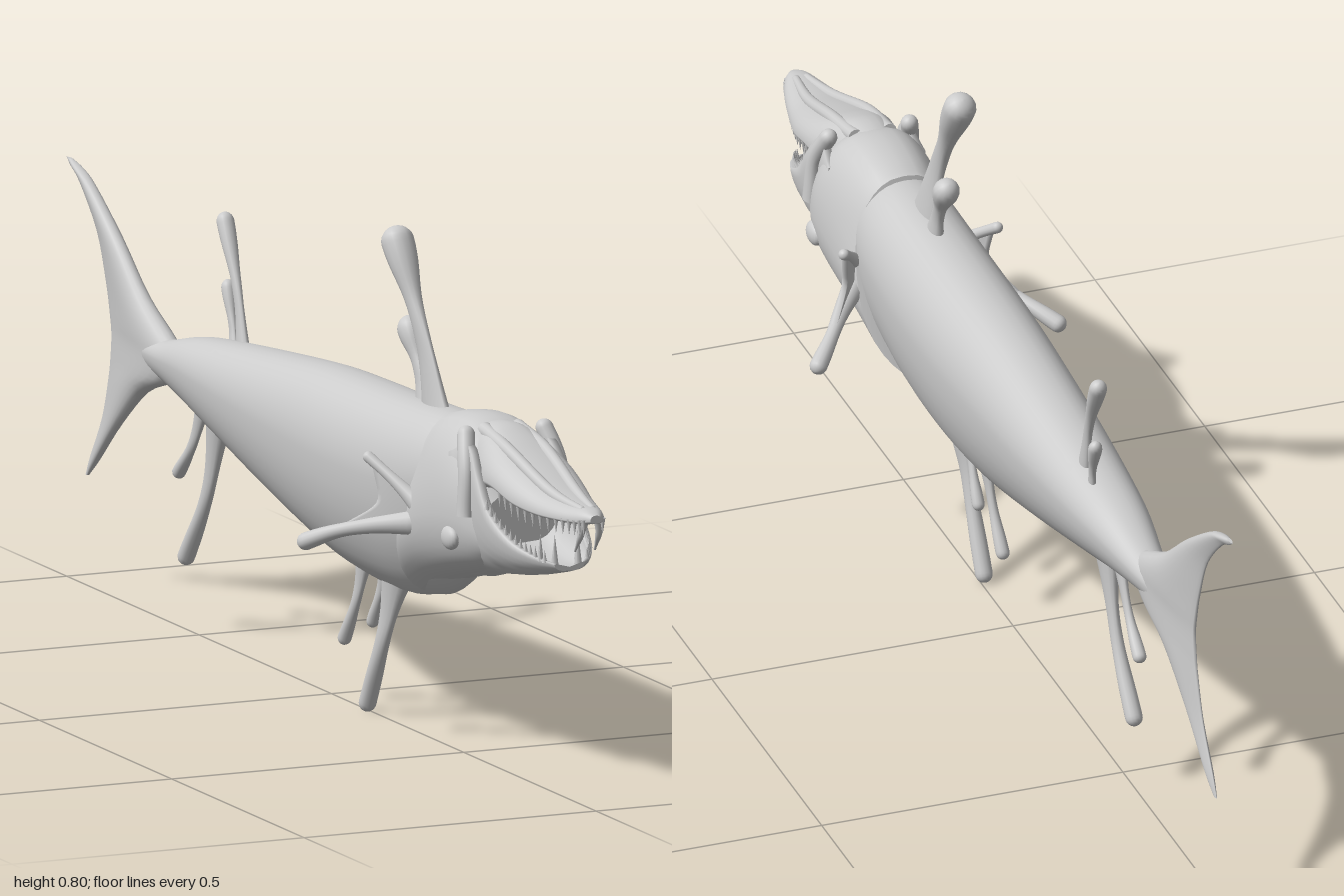
import * as THREE from 'three';

const V = (x, y, z) => new THREE.Vector3(x, y, z);
const { lerp, smoothstep } = THREE.MathUtils;
const grey = new THREE.MeshStandardMaterial({ color: 0xcccccc });
const thin = new THREE.MeshStandardMaterial({ color: 0xcccccc, side: THREE.DoubleSide });

// Smooth curve through rows of numbers; t runs from 0 to 1
function smooth(rows) {
  const f = new THREE.CubicInterpolant(rows.map((_, i) => i), rows.flat(), rows[0].length);
  return t => Array.from(f.evaluate(t * (rows.length - 1)));
}

// Skin over closed rings of equal length, capped at both ends and facing outward
function loft(rings) {
  const n = rings[0].length, pos = [], idx = [];
  rings.forEach(r => r.forEach(p => pos.push(p)));
  for (let i = 0; i < rings.length - 1; i++)
    for (let j = 0; j < n; j++) {
      const a = i * n + j, b = i * n + (j + 1) % n;
      idx.push(a, b, a + n, b, b + n, a + n);
    }
  [[rings[0], true], [rings.at(-1), false]].forEach(([r, first]) => {
    const s = pos.length;
    pos.push(...r, r.reduce((c, p) => c.add(p), V(0, 0, 0)).divideScalar(n));
    for (let j = 0; j < n; j++) {
      const a = s + j, b = s + (j + 1) % n;
      idx.push(...(first ? [b, a, s + n] : [a, b, s + n]));
    }
  });
  let volume = 0;
  for (let i = 0; i < idx.length; i += 3)
    volume += pos[idx[i]].dot(V(0, 0, 0).crossVectors(pos[idx[i + 1]], pos[idx[i + 2]]));
  if (volume < 0) idx.reverse();
  const g = new THREE.BufferGeometry().setFromPoints(pos);
  g.setIndex(idx);
  g.computeVertexNormals();
  return g;
}

const steps = (n, f) => Array.from({ length: n + 1 }, (_, i) => f(i / n));
const around = (n, f) => Array.from({ length: n }, (_, i) => f(i / n * Math.PI * 2));

// Cross-section with separate fullness above and below its widest level
function section(z, w, bot, top, mid, eTop, eLow, shift = () => 0) {
  const m = lerp(bot, top, mid);
  return around(36, a => {
    const c = Math.cos(a), s = Math.sin(a);
    const y = m + s * (s > 0 ? top - m : m - bot);
    return V(w * Math.sign(c) * Math.abs(c) ** (s > 0 ? eTop : eLow), y, z + shift(y));
  });
}

export function createModel() {
  const model = new THREE.Group();
  const add = (name, geometry, material = grey) => {
    const m = new THREE.Mesh(geometry, material);
    m.name = name;
    model.add(m);
    return m;
  };

  // Body: z, half width, bottom, top
  const body = smooth([
    [0.56, 0.07, 0.31, 0.53], [0.48, 0.084, 0.255, 0.54], [0.40, 0.088, 0.235, 0.538],
    [0.30, 0.09, 0.22, 0.535], [0.15, 0.09, 0.221, 0.532], [0, 0.085, 0.24, 0.527],
    [-0.2, 0.075, 0.285, 0.51], [-0.4, 0.06, 0.335, 0.49], [-0.5, 0.049, 0.36, 0.476],
    [-0.6, 0.033, 0.38, 0.453], [-0.68, 0.02, 0.39, 0.44]]);
  add('body', loft(steps(50, t => section(...body(t), 0.62, 0.9, 1.3))));

  // Forked tail: y, leading z, trailing z, half thickness
  const tail = smooth([
    [0.178, -0.918, -0.928, 0.003], [0.21, -0.88, -0.91, 0.009], [0.28, -0.80, -0.865, 0.014],
    [0.35, -0.70, -0.84, 0.022], [0.385, -0.60, -0.833, 0.028], [0.42, -0.56, -0.83, 0.03],
    [0.45, -0.60, -0.835, 0.03], [0.50, -0.70, -0.85, 0.024], [0.575, -0.80, -0.885, 0.018],
    [0.64, -0.90, -0.95, 0.013], [0.66, -0.945, -0.985, 0.01], [0.67, -0.98, -1, 0.004]]);
  add('tailFin', loft(steps(44, t => {
    const [y, lead, trail, w] = tail(t);
    return around(24, a => {
      const f = (1 - Math.cos(a)) / 2;
      return V(w * Math.sin(a) * (1 - 0.65 * f), y, lerp(lead, trail, f));
    });
  })));

  // Head and gill cover, rear edge swept back: z, half width, bottom, top, sweep, lower fullness
  const head = smooth([
    [0.495, 0.09, 0.236, 0.546, 1, 1.2], [0.54, 0.095, 0.268, 0.556, 0.8, 0.95],
    [0.60, 0.098, 0.296, 0.561, 0.4, 0.7], [0.65, 0.097, 0.315, 0.55, 0.1, 0.6],
    [0.69, 0.086, 0.33, 0.51, 0, 0.6], [0.72, 0.072, 0.345, 0.46, 0, 0.6]]);
  add('headAndGillCover', loft(steps(24, t => {
    const [z, w, bot, top, k, e] = head(t);
    return section(z, w, bot, top, 0.42, 0.8, e, y => -k * 0.5 * Math.max(0, 0.45 - y));
  })));

  // Upper jaw: z, half width, bottom, top
  const upper = smooth([
    [0.58, 0.05, 0.44, 0.55], [0.66, 0.06, 0.45, 0.558], [0.71, 0.068, 0.464, 0.546],
    [0.76, 0.07, 0.468, 0.527], [0.82, 0.065, 0.455, 0.507], [0.88, 0.052, 0.45, 0.489],
    [0.94, 0.037, 0.452, 0.481], [0.98, 0.023, 0.455, 0.479], [1, 0.01, 0.46, 0.472]]);
  add('upperJaw', loft(steps(36, t => section(...upper(t), 0.22, 0.8, 0.5))));

  // Lower jaw trough: z, half width, bottom, lip height, lip width factor
  const lower = smooth([
    [0.62, 0.098, 0.305, 0.51, 0.82], [0.68, 0.098, 0.322, 0.53, 0.76],
    [0.72, 0.092, 0.328, 0.49, 0.86], [0.76, 0.083, 0.335, 0.44, 0.95],
    [0.82, 0.07, 0.345, 0.405, 1], [0.87, 0.052, 0.358, 0.388, 1], [0.90, 0.026, 0.366, 0.378, 1]]);
  add('lowerJaw', loft(steps(30, t => {
    const [z, w, bot, lip, k] = lower(t);
    const arc = (hw, b) => steps(16, u => {
      const c = Math.cos(u * Math.PI), s = Math.sin(u * Math.PI);
      return V(hw * Math.sign(c) * Math.abs(c) ** 0.6 * lerp(k, 1, s), lip - (lip - b) * s, z);
    });
    return [...arc(w, bot), ...arc(w * 0.84, lerp(bot, lip, 0.3)).reverse()];
  })));

  // Tapered stalk ending in a round bulb
  function club(name, pts, base, neck, tip, flat = 0.5) {
    const curve = new THREE.CatmullRomCurve3(pts.map(p => V(...p)));
    const e = Math.min(0.4, tip / curve.getLength());
    return add(name, loft(steps(28, i => {
      const t = Math.sin(i * Math.PI / 2), T = curve.getTangent(t);
      let r = neck + (base - neck) * (1 - t) ** 3 + smoothstep(t, 0.55, 1 - e) * (tip - neck);
      if (t > 1 - e) r *= Math.sqrt(Math.max(0.001, 1 - ((t - 1 + e) / e) ** 2));
      const S = V(1, 0, 0).addScaledVector(T, -T.x).normalize(), N = T.clone().cross(S);
      const rw = r * lerp(flat, 1, smoothstep(t, 0.3, 0.8));
      return around(14, a => curve.getPoint(t)
        .addScaledVector(S, rw * Math.cos(a)).addScaledVector(N, r * Math.sin(a)));
    })));
  }

  // Stalked fins along the back
  club('frontDorsalStalk', [[0, 0.5, 0.405], [-0.005, 0.61, 0.37], [-0.01, 0.71, 0.32], [-0.015, 0.797, 0.268]],
    0.05, 0.014, 0.026, 0.35);
  club('smallDorsalStalk', [[0.005, 0.51, 0.345], [0.008, 0.58, 0.315], [0.01, 0.652, 0.265]], 0.03, 0.012, 0.021);
  club('rearDorsalStalk', [[0.015, 0.47, -0.365], [0.02, 0.57, -0.40], [0.025, 0.68, -0.462]], 0.02, 0.009, 0.014);
  club('smallRearDorsalStalk', [[0.02, 0.47, -0.415], [0.025, 0.51, -0.43], [0.03, 0.573, -0.46]], 0.014, 0.008, 0.011);

  // Stalked fins along the belly
  club('frontVentralStalk', [[0, 0.25, 0.25], [-0.004, 0.13, 0.205], [-0.006, 0.003, 0.143]], 0.05, 0.012, 0.014, 0.4);
  club('smallVentralStalk', [[0.004, 0.24, 0.195], [0.005, 0.19, 0.17], [0.005, 0.135, 0.14]], 0.018, 0.008, 0.01);
  club('middleVentralStalk', [[0.004, 0.25, 0.12], [0, 0.17, 0.095], [-0.004, 0.092, 0.052]], 0.026, 0.008, 0.011);
  club('rearVentralStalk', [[0, 0.36, -0.425], [0, 0.23, -0.47], [-0.004, 0.108, -0.548]], 0.034, 0.011, 0.014);
  club('smallRearVentralStalk', [[0, 0.38, -0.48], [0, 0.30, -0.525], [0, 0.24, -0.583]], 0.022, 0.008, 0.011);

  // Teeth point up or down from a root
  const tooth = (name, x, y, z, length, r) => {
    const m = add(name, new THREE.ConeGeometry(r, Math.abs(length), 8));
    m.position.set(x, y + length / 2, z);
    if (length < 0) m.rotation.x = Math.PI;
  };

  for (const s of [1, -1]) {
    const mirror = pts => pts.map(([x, y, z]) => [x * s, y, z]);

    // Pectoral fin: two stalks joined by a web with a hollow edge
    const low = mirror([[0.075, 0.375, 0.50], [0.125, 0.362, 0.435], [0.165, 0.345, 0.38], [0.207, 0.32, 0.332]]);
    const high = mirror([[0.075, 0.40, 0.505], [0.105, 0.44, 0.46], [0.131, 0.473, 0.415]]);
    club('pectoralStalk', low, 0.022, 0.01, 0.014, 1);
    club('pectoralSpur', high, 0.018, 0.008, 0.009, 1);
    const [a, b] = [low, high].map(p => new THREE.CatmullRomCurve3(p.map(q => V(...q))));
    add('pectoralWeb', loft(steps(12, v => {
      const reach = 0.85 - 0.35 * Math.sin(Math.PI * v);
      const row = steps(10, u => a.getPoint(u * reach * 0.85).lerp(b.getPoint(u * reach), v));
      const side = d => row.map(p => p.clone().add(V(0.003 * d * s, 0, 0.003 * d)));
      return [...side(1), ...side(-1).reverse()];
    })), thin);

    // Cheek lobe, snout ridge and eye
    club('cheekLobe', mirror([[0.085, 0.42, 0.69], [0.08, 0.49, 0.685], [0.064, 0.555, 0.65]]), 0.016, 0.014, 0.014, 0.8);
    club('snoutRidge', mirror([[0.028, 0.545, 0.64], [0.03, 0.528, 0.74], [0.02, 0.486, 0.88], [0.008, 0.474, 0.97]]),
      0.012, 0.01, 0.007, 1);
    const eye = add('eye', new THREE.SphereGeometry(0.024, 20, 14));
    eye.scale.set(0.5, 0.8, 1);
    eye.position.set(0.092 * s, 0.38, 0.652);

    // Small teeth along both jaws
    for (let i = 0; i < 14; i++) {
      const [zu, wu, bu] = upper(0.4 + i * 0.04);
      tooth('upperTooth', s * wu * 0.88, bu + 0.008, zu, -0.026, 0.0045);
      const [zl, wl, , lip] = lower(0.48 + i * 0.036);
      if (i < 13) tooth('lowerTooth', s * wl * 0.9, lip - 0.004, zl, 0.02, 0.0045);
    }

    // Long fangs at the jaw tips
    club('upperFang', mirror([[0.012, 0.462, 0.982], [0.015, 0.44, 0.977], [0.017, 0.408, 0.957]]), 0.008, 0.005, 0.002, 1);
    tooth('lowerFang', s * 0.02, 0.37, 0.888, 0.052, 0.007);
    tooth('innerFang', s * 0.032, 0.375, 0.86, 0.045, 0.006);
  }
  return model;
}
